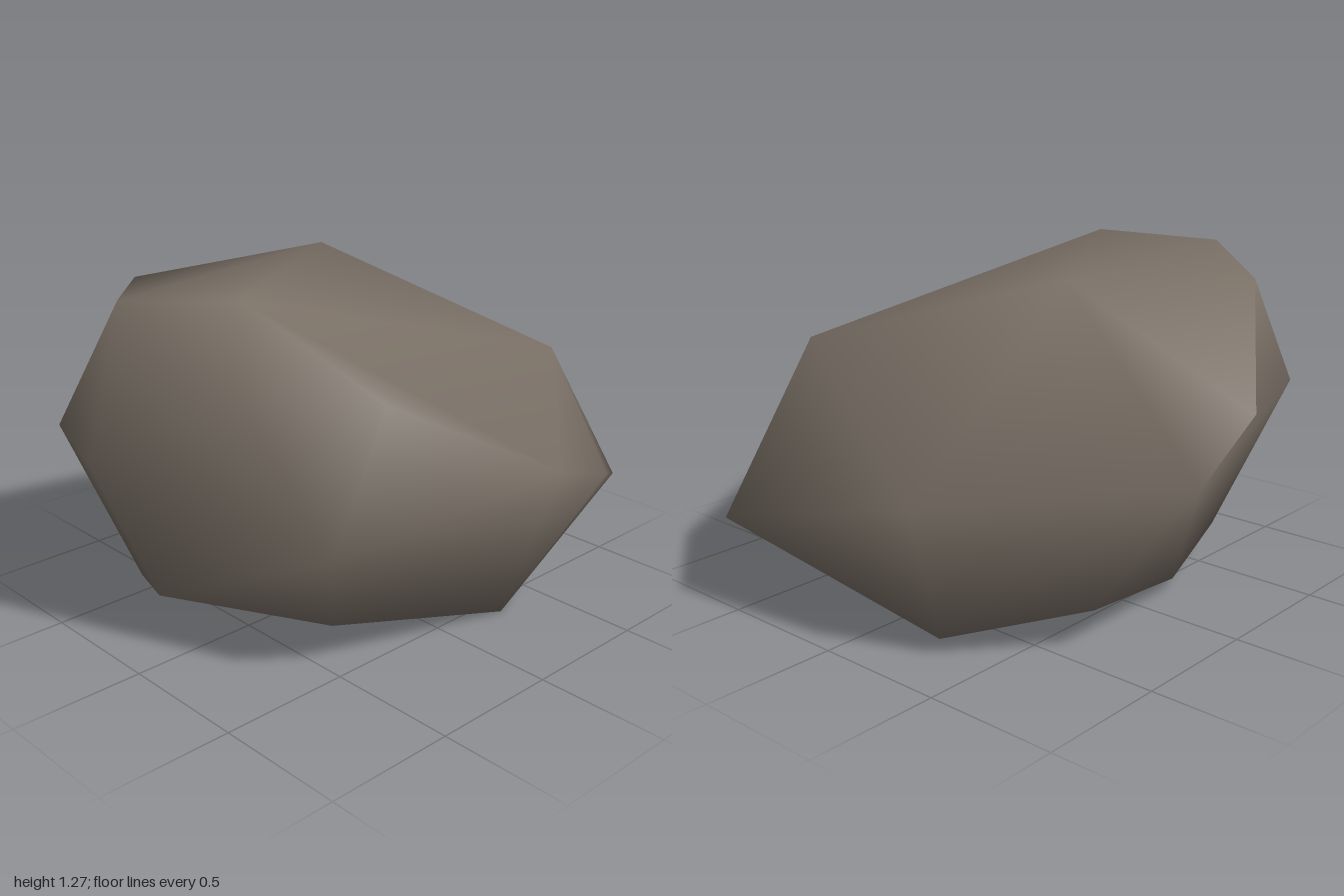
import * as THREE from 'three';
import { ConvexGeometry } from 'three/addons/geometries/ConvexGeometry.js';
import { mergeVertices } from 'three/addons/utils/BufferGeometryUtils.js';

const v = (x, y, z) => new THREE.Vector3(x, y, z);

// Corners of the boulder, by level
const ridgeBack = v(0.32, 1.25, -0.48);
const backTop = v(-0.41, 1.185, -0.75);
const backLow = v(0.25, 0.62, -0.995);
const backPeak = v(-0.07, 0.8, -0.99);
const top = [v(-0.52, 1.27, 0.04), ridgeBack, v(-0.76, 1.24, -0.35), backTop];
const shoulder = [v(0.62, 0.96, 0.48), v(-0.7, 1.01, 0.27), v(-0.35, 0.985, 0.56)];
const waist = [v(0.06, 0.76, 0.99), v(-1, 0.72, -0.22), v(-0.84, 0.71, -0.67), backLow,
  v(0.905, 0.56, -0.32), v(-0.62, 0.52, 0.59), v(0.58, 0.55, 0.8), v(1, 0.35, 0.54)];
const base = [v(0.27, 0, 0.58), v(0.77, 0.06, -0.31), v(-0.19, 0.05, -0.59), v(-0.84, 0.22, -0.08),
  v(-0.66, 0.1, -0.45), v(-0.48, 0.17, 0.44), v(0.4, 0.15, -0.68)];

// Lists the hull's corners in threes, raising one face to a peak
function raiseFace(hull, face, peak) {
  const pos = hull.attributes.position;
  const corners = [];
  for (let i = 0; i < pos.count; i += 3) {
    const [a, b, c] = [0, 1, 2].map((k) => v().fromBufferAttribute(pos, i + k));
    const isFace = [a, b, c].every((p) => face.some((q) => p.distanceTo(q) < 1e-3));
    if (isFace) corners.push(a, b, peak, b, c, peak, c, a, peak);
    else corners.push(a, b, c);
  }
  return corners;
}

export function createModel() {
  const stone = new THREE.MeshStandardMaterial({ color: 0x7a7066 });
  stone.name = 'stone';

  // Rough hull with a blunt peak at the back, leaving a shallow hollow beside it
  const hull = new ConvexGeometry([...top, ...shoulder, ...waist, ...base]);
  const corners = raiseFace(hull, [ridgeBack, backTop, backLow], backPeak);

  // Shared corners, so that it shades smoothly
  const geometry = mergeVertices(new THREE.BufferGeometry().setFromPoints(corners), 1e-4);
  geometry.computeVertexNormals();

  const boulder = new THREE.Mesh(geometry, stone);
  boulder.name = 'boulder';
  const group = new THREE.Group();
  group.name = 'rock';
  group.add(boulder);
  return group;
}
